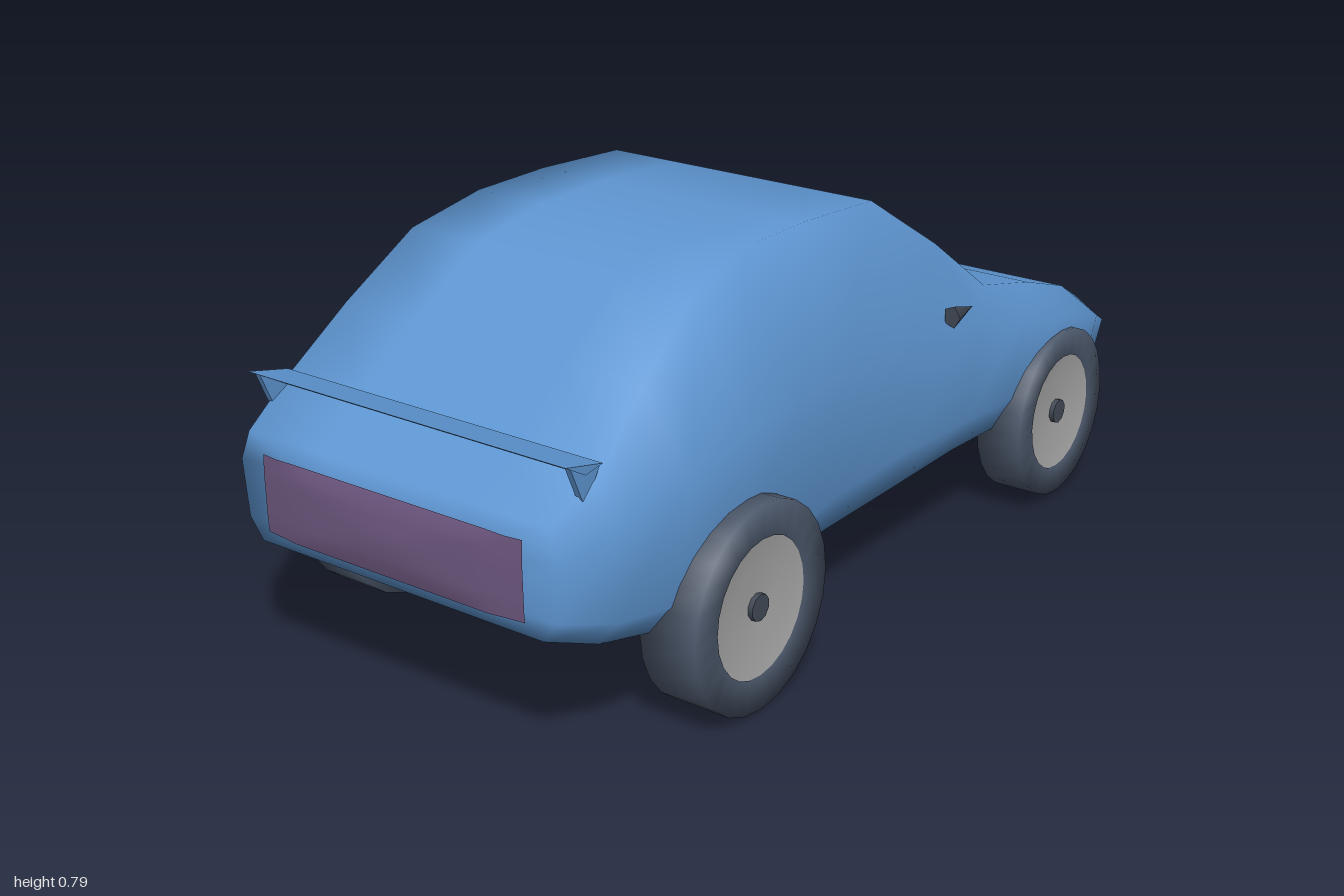
import * as THREE from 'three';

const paint = (name, color, side = THREE.FrontSide) => {
  const m = new THREE.MeshStandardMaterial({ color, side });
  m.name = name;
  return m;
};

export function createModel() {
  const car = new THREE.Group();
  car.name = 'car';
  const blue = paint('body blue', 0x5f97d3);
  const blueThin = paint('body blue thin', 0x5f97d3, THREE.DoubleSide);
  const rubber = paint('tyre grey', 0x4c586b);
  const silver = paint('rim silver', 0xa9a9a9);
  const dark = paint('dark trim', 0x434b57);
  const grilleGrey = paint('grille grey', 0x4d6078, THREE.DoubleSide);
  const cream = paint('headlight cream', 0xdcc887, THREE.DoubleSide);
  const plum = paint('tail light plum', 0x715a83, THREE.DoubleSide);

  const add = (name, geo, mat, parent = car) => {
    const mesh = new THREE.Mesh(geo, mat);
    mesh.name = name;
    parent.add(mesh);
    return mesh;
  };

  // Body stations: x, floor y/half-width, sill y/w, belt y/w, roof y/w
  const stations = [
    [-0.975, 0.27, 0.33, 0.31, 0.36, 0.42, 0.37, 0.48, 0.345],
    [-0.87, 0.23, 0.36, 0.28, 0.40, 0.46, 0.42, 0.535, 0.365],
    [-0.72, 0.20, 0.38, 0.26, 0.42, 0.50, 0.44, 0.65, 0.345],
    [-0.56, 0.20, 0.39, 0.27, 0.425, 0.535, 0.453, 0.755, 0.325],
    [-0.39, 0.195, 0.385, 0.27, 0.42, 0.535, 0.44, 0.79, 0.31],
    [-0.20, 0.19, 0.37, 0.27, 0.40, 0.52, 0.416, 0.79, 0.31],
    [0.03, 0.19, 0.37, 0.27, 0.395, 0.51, 0.41, 0.775, 0.31],
    [0.25, 0.20, 0.38, 0.27, 0.41, 0.49, 0.43, 0.635, 0.325],
    [0.41, 0.20, 0.39, 0.27, 0.425, 0.45, 0.445, 0.508, 0.35],
    [0.58, 0.20, 0.39, 0.27, 0.43, 0.41, 0.452, 0.47, 0.36],
    [0.76, 0.20, 0.38, 0.26, 0.42, 0.36, 0.44, 0.41, 0.35],
    [0.87, 0.195, 0.35, 0.24, 0.385, 0.31, 0.40, 0.352, 0.33],
    [0.96, 0.172, 0.305, 0.21, 0.325, 0.26, 0.325, 0.29, 0.30],
  ];
  const ring = ([x, y0, w0, y1, w1, y2, w2, y3, w3]) => {
    const half = [[w0, y0], [w1, y1], [w2, y2], [w3, y3]];
    return [[0, y0], ...half, [w3 / 2, y3], [0, y3], [-w3 / 2, y3],
      ...half.reverse().map(([z, y]) => [-z, y])].map(([z, y]) => [x, y, z]);
  };
  // End caps are the end ring shrunk towards a point
  const shrink = (pts, k, x, cy) => pts.map(([, y, z]) => [x, cy + (y - cy) * k, z * k]);
  const rings = stations.map(ring);
  const tail = rings[0], nose = rings[rings.length - 1];
  rings.unshift(shrink(tail, 0, -1, 0.37), shrink(tail, 0.6, -0.992, 0.37));
  rings.push(shrink(nose, 0.6, 0.987, 0.22), shrink(nose, 0, 1, 0.22));
  const n = tail.length, index = [];
  for (let i = 0; i < rings.length - 1; i++) {
    for (let j = 0; j < n; j++) {
      const a = i * n + j, c = i * n + (j + 1) % n;
      index.push(a, a + n, c + n, a, c + n, c);
    }
  }
  const shell = new THREE.BufferGeometry();
  shell.setAttribute('position', new THREE.Float32BufferAttribute(rings.flat(2), 3));
  shell.setIndex(index);
  shell.computeVertexNormals();
  const body = add('body', shell, blue);

  // Lays a flat geometry (x across, y up) onto the nose (dir 1) or tail (dir -1)
  const ray = new THREE.Raycaster();
  const decal = (name, geo, mat, dir) => {
    const p = geo.attributes.position;
    for (let i = 0; i < p.count; i++) {
      const y = p.getY(i), z = -dir * p.getX(i) + 1e-4;
      ray.set(new THREE.Vector3(2 * dir, y, z), new THREE.Vector3(-dir, 0, 0));
      const hit = ray.intersectObject(body)[0];
      if (hit) hit.point.addScaledVector(hit.face.normal, 0.005);
      p.setXYZ(i, hit ? hit.point.x : dir * 0.97, hit ? hit.point.y : y, z);
    }
    geo.computeVertexNormals();
    add(name, geo, mat);
  };
  decal('grille', new THREE.RingGeometry(0.0005, 1, 28, 5).scale(0.08, 0.019, 1)
    .translate(0, 0.222, 0), grilleGrey, 1);
  decal('tailLight', new THREE.PlaneGeometry(0.6, 0.15, 16, 8).translate(0, 0.375, 0), plum, -1);

  // Hooked headlights: a strip between an outer and an inner curve
  const spline = (pts) => new THREE.SplineCurve(pts.map(([x, y]) => new THREE.Vector2(x, y)));
  const outer = spline([[0.312, 0.391], [0.28, 0.376], [0.258, 0.373], [0.262, 0.345], [0.272, 0.317]]);
  const inner = spline([[0.312, 0.388], [0.29, 0.366], [0.277, 0.354], [0.277, 0.338], [0.276, 0.318]]);
  for (const s of [1, -1]) {
    const geo = new THREE.PlaneGeometry(1, 1, 16, 4);
    const p = geo.attributes.position;
    for (let i = 0; i < p.count; i++) {
      const t = p.getX(i) + 0.5;
      const q = outer.getPoint(t).lerp(inner.getPoint(t), s * p.getY(i) + 0.5);
      p.setXY(i, -s * q.x, q.y);
    }
    decal(s > 0 ? 'leftHeadlight' : 'rightHeadlight', geo, cream, 1);
  }

  // Wheels: lathed tyre, dished rim and hub
  const lathe = (pts) => new THREE.LatheGeometry(
    pts.map(([r, y]) => new THREE.Vector2(r, y)), 24).rotateX(Math.PI / 2);
  const wheel = (name, x, y, r, zOut, rim, s) => {
    const g = new THREE.Group();
    g.name = name;
    const w = zOut - 0.355;
    add('tyre', lathe([[0, 0], [r, 0], [r, w], [rim, w], [rim, w - 0.015]]), rubber, g);
    add('rim', lathe([[rim, w - 0.004], [rim * 0.6, w - 0.012], [0, w - 0.015]]), silver, g);
    add('hub', new THREE.CylinderGeometry(0.026, 0.026, 0.02, 10)
      .rotateX(Math.PI / 2).translate(0, 0, w - 0.014), dark, g);
    g.position.set(x, y, s * 0.355);
    if (s < 0) g.rotation.y = Math.PI;
    car.add(g);
  };
  for (const s of [1, -1]) {
    const label = s > 0 ? 'right' : 'left';
    wheel(label + 'RearWheel', -0.555, 0.2, 0.2, 0.473, 0.134, s);
    wheel(label + 'FrontWheel', 0.583, 0.194, 0.184, 0.455, 0.126, s);

    // Door mirrors
    const mirror = add(label + 'Mirror', new THREE.ConeGeometry(0.024, 0.08, 5)
      .rotateZ(-Math.PI / 2).scale(1, 1, 0.8), dark);
    mirror.position.set(0.195, 0.527, s * 0.424);
  }

  // Extrudes a side profile (x, y) across the car
  const across = (pts, width) => new THREE.ExtrudeGeometry(
    new THREE.Shape(pts.map(([x, y]) => new THREE.Vector2(x, y))),
    { depth: width, bevelEnabled: false }).translate(0, 0, -width / 2);

  // Rear wing on two tapered end struts, and the chin lip
  add('wing', across([[-0.95, 0.58], [-0.9, 0.55], [-0.855, 0.556]], 0.73), blueThin);
  for (const s of [1, -1]) {
    add('wingStrut', across([[-0.935, 0.572], [-0.9, 0.49], [-0.86, 0.556]], 0.012)
      .translate(0, 0, s * 0.357), blueThin);
  }
  add('chinLip', across([[0.88, 0.205], [0.92, 0.153], [0.93, 0.205]], 0.3), blueThin);

  return car;
}
